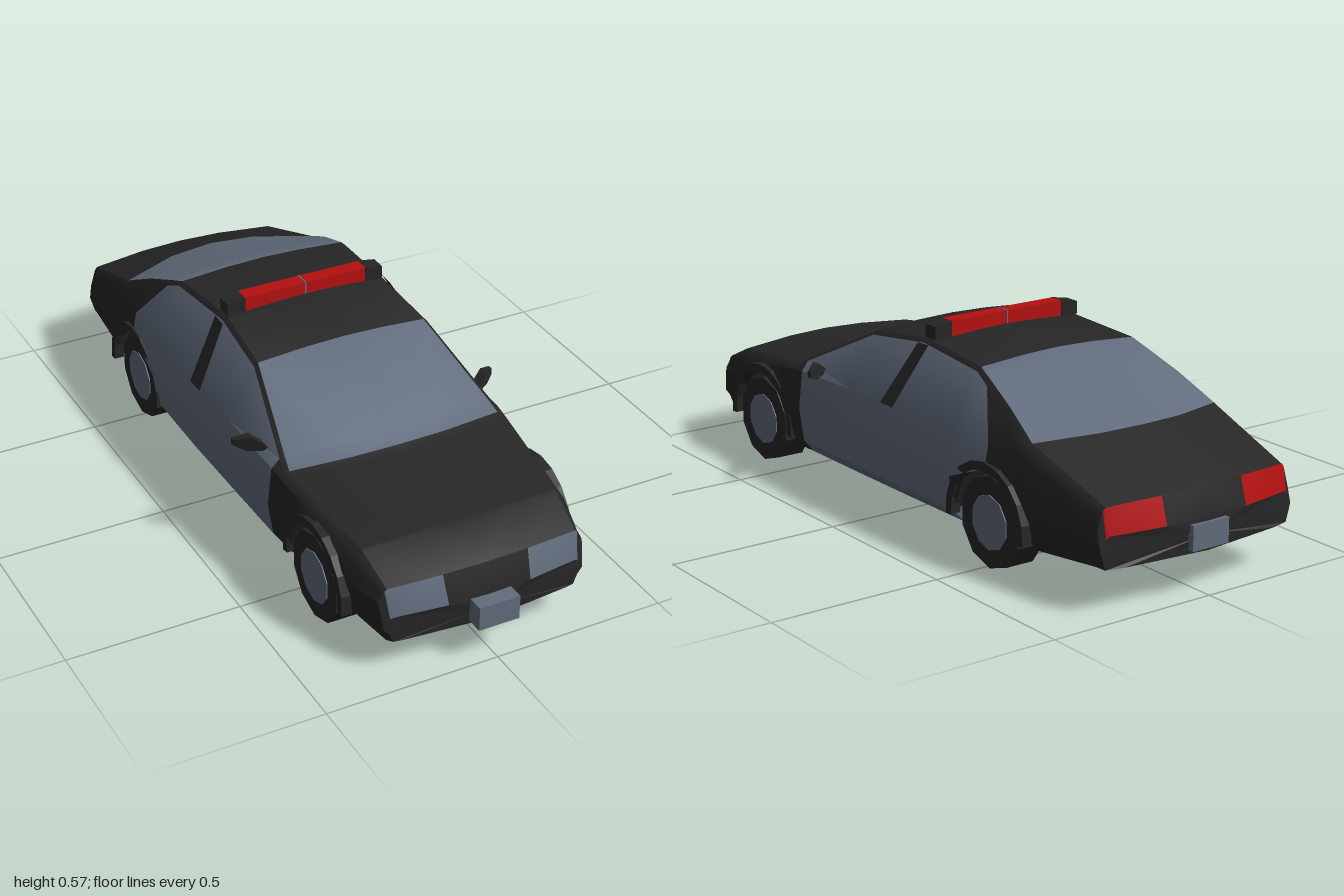
import * as THREE from 'three';
import { toCreasedNormals } from 'three/addons/utils/BufferGeometryUtils.js';

const paint = new THREE.MeshStandardMaterial({ color: 0x262626 });
paint.name = 'black paint';
const grey = new THREE.MeshStandardMaterial({ color: 0x626c7d });
grey.name = 'blue grey';
const red = new THREE.MeshStandardMaterial({ color: 0xb51010 });
red.name = 'red lamp';
const trim = new THREE.MeshStandardMaterial({ color: 0x242424, side: THREE.DoubleSide });
trim.name = 'black trim';

const WHEEL_Z = [0.625, -0.515], HUB_Y = 0.128, ARCH = 0.15;

// Cross-sections from nose to tail:
// side z, bow, top y, glass edge x y, rail x y, belt x y, sill x, bottom y
const KEYS = [
  [0.925, 0.03, 0.175, 0.27, 0.172, 0.28, 0.168, 0.285, 0.16, 0.27, 0.095],
  [0.905, 0.02, 0.255, 0.28, 0.25, 0.287, 0.245, 0.292, 0.235, 0.28, 0.09],
  [0.79, 0.02, 0.315, 0.29, 0.3, 0.302, 0.29, 0.318, 0.27, 0.29, 0.085],
  [0.435, 0.04, 0.355, 0.32, 0.343, 0.335, 0.337, 0.345, 0.325, 0.31, 0.08],
  [0.39, 0.03, 0.379, 0.312, 0.365, 0.325, 0.357, 0.348, 0.33, 0.31, 0.08],
  [0.13, 0, 0.508, 0.258, 0.495, 0.27, 0.485, 0.352, 0.34, 0.312, 0.08],
  [-0.1, 0, 0.535, 0.243, 0.522, 0.256, 0.51, 0.355, 0.345, 0.312, 0.08],
  [-0.365, 0, 0.517, 0.258, 0.503, 0.27, 0.492, 0.352, 0.35, 0.31, 0.08],
  [-0.515, -0.05, 0.447, 0.286, 0.437, 0.3, 0.418, 0.345, 0.345, 0.31, 0.083],
  [-0.64, -0.09, 0.39, 0.308, 0.375, 0.322, 0.365, 0.335, 0.34, 0.305, 0.088],
  [-0.935, -0.03, 0.287, 0.295, 0.28, 0.303, 0.273, 0.308, 0.26, 0.29, 0.115],
  [-0.95, -0.04, 0.21, 0.295, 0.208, 0.303, 0.2, 0.308, 0.19, 0.29, 0.12],
];

function rowAt(z) {
  let i = 0;
  while (i < KEYS.length - 2 && KEYS[i + 1][0] > z) i++;
  const a = KEYS[i], b = KEYS[i + 1], t = (z - a[0]) / (b[0] - a[0]);
  return a.map((v, k) => v + (b[k] - v) * t);
}

// Half outline of one section, from roof centre down to belly centre
function section(z) {
  const [, bow, top, xg, yg, xp, yp, xb, yb, xs, bot] = rowAt(z);
  let arch = 0;
  for (const c of WHEEL_Z) {
    const d = Math.abs(z - c);
    if (d < ARCH + 0.0005) arch = HUB_Y + Math.sqrt(Math.max(0, ARCH * ARCH - d * d));
  }
  const up = (y) => Math.max(y, arch), wide = xb + 0.012;
  const mid = Math.min(0.22, yb - 0.02);
  return [
    [0, top], [xg * 0.45, top - (top - yg) * 0.25], [xg, yg], [xp, yp], [xb, yb],
    [wide, up(mid)], [wide - 0.015, up(0.12)], [xs, up(bot)], [0.25, up(bot)], [0.25, bot], [0, bot],
  ].map(([x, y]) => [x, y, z + bow * Math.max(0, 1 - (x / xb) ** 2)]);
}

// Colour index of a body panel: 0 paint, 1 grey, 2 red
function panelColour(i, last, j, z0, z1) {
  const within = (a, b) => z0 <= a && z1 >= b;
  if (i === 0 && (j === 1 || j === 2)) return 1;             // headlights
  if (i === last && (j === 1 || j === 2)) return 2;          // tail lights
  if (j < 2) return within(0.435, 0.13) || within(-0.365, -0.64) ? 1 : 0;
  if (j === 3) return within(0.39, -0.415) ? 1 : 0;          // side windows
  if (j === 4) return within(0.39, -0.515) ? 1 : 0;          // doors
  return j > 4 && within(0.39, -0.365) ? 1 : 0;
}

function bodyGeometry() {
  const zs = KEYS.map((k) => k[0]);
  for (const c of WHEEL_Z) for (const d of [0.152, 0.15, 0.1, 0]) zs.push(c + d, c - d);
  const rows = [...new Set(zs.map((z) => Math.round(z * 1000) / 1000))].sort((a, b) => b - a);
  const rings = rows.map(section), last = rows.length - 2, lists = [[], [], []];
  // Adds a triangle and its mirror image
  const tri = (m, a, b, c) => {
    const flip = ([x, y, z]) => [-x, y, z];
    lists[m].push(...a, ...b, ...c, ...flip(a), ...flip(c), ...flip(b));
  };
  for (let i = 0; i <= last; i++) {
    for (let j = 0; j < 10; j++) {
      const a = rings[i][j], b = rings[i][j + 1], c = rings[i + 1][j + 1], d = rings[i + 1][j];
      const m = panelColour(i, last, j, rows[i], rows[i + 1]);
      // slanted rear edge of the side window
      const slant = j === 3 && rows[i] === -0.415;
      tri(slant ? 1 : m, a, b, c);
      tri(m, a, c, d);
    }
  }
  // Nose and tail caps
  for (const [ring, front] of [[rings[0], true], [rings[last + 1], false]]) {
    const mid = [0, (ring[0][1] + ring[10][1]) / 2, ring[0][2]];
    for (let j = 0; j < 10; j++) {
      if (front) tri(0, mid, ring[j + 1], ring[j]);
      else tri(0, mid, ring[j], ring[j + 1]);
    }
  }
  const geo = new THREE.BufferGeometry();
  geo.setAttribute('position', new THREE.Float32BufferAttribute(lists.flat(), 3));
  const out = toCreasedNormals(geo, 0.5);
  let start = 0;
  lists.forEach((l, m) => {
    out.addGroup(start, l.length / 3, m);
    start += l.length / 3;
  });
  return out;
}

export function createModel() {
  const car = new THREE.Group();
  car.name = 'patrolCar';
  const add = (name, geo, mat, x = 0, y = 0, z = 0) => {
    const mesh = new THREE.Mesh(geo, mat);
    mesh.name = name;
    mesh.position.set(x, y, z);
    car.add(mesh);
    return mesh;
  };
  const box = (name, mat, w, h, d, x, y, z) => add(name, new THREE.BoxGeometry(w, h, d), mat, x, y, z);

  add('body', bodyGeometry(), [paint, grey, red]);

  // Number plates
  box('frontPlate', grey, 0.12, 0.07, 0.06, 0, 0.14, 0.97);
  box('rearPlate', grey, 0.12, 0.07, 0.03, 0, 0.165, -0.985);

  // Roof light bar
  box('lightDivider', grey, 0.004, 0.044, 0.046, 0, 0.548, -0.112);
  for (const s of [1, -1]) {
    const side = s > 0 ? 'left' : 'right';
    box(side + 'RoofLight', red, 0.188, 0.044, 0.044, s * 0.096, 0.547, -0.112);

    // Tapered end of the light bar
    const end = new THREE.BoxGeometry(0.055, 0.046, 0.048);
    const p = end.attributes.position;
    for (let i = 0; i < p.count; i++) if (p.getX(i) * s > 0 && p.getY(i) > 0) p.setY(i, 0.014);
    end.computeVertexNormals();
    add(side + 'LightBarEnd', end, paint, s * 0.217, 0.546, -0.112);

    // Door pillar between the side windows
    const pillar = new THREE.BufferGeometry();
    const pts = [[0.264, 0.508, -0.08], [0.361, 0.343, -0.035], [0.362, 0.343, -0.095], [0.264, 0.511, -0.13]];
    pillar.setAttribute('position', new THREE.Float32BufferAttribute(pts.flatMap(([x, y, z]) => [s * x, y, z]), 3));
    pillar.setIndex(s > 0 ? [0, 1, 2, 0, 2, 3] : [0, 2, 1, 0, 3, 2]);
    pillar.computeVertexNormals();
    add(side + 'DoorPillar', pillar, trim);

    // Door mirror, swept backwards
    const outline = [[0.33, 0.36], [0.362, 0.382], [0.402, 0.368], [0.402, 0.35], [0.375, 0.338], [0.33, 0.346]];
    const mirror = new THREE.ExtrudeGeometry(
      new THREE.Shape(outline.map(([x, y]) => new THREE.Vector2(s * x, y))), { depth: 0.04, bevelEnabled: false });
    const q = mirror.attributes.position;
    for (let i = 0; i < q.count; i++) {
      const t = (Math.abs(q.getX(i)) - 0.33) / 0.072;
      q.setZ(i, 0.29 + q.getZ(i) * (1 - 0.6 * t) - 0.035 * t);
    }
    mirror.computeVertexNormals();
    add(side + 'Mirror', mirror, paint);

    // Wheels, hubs and arch flares
    WHEEL_Z.forEach((z, k) => {
      const name = side + (k ? 'Rear' : 'Front');
      const disc = (r, w) => new THREE.CylinderGeometry(r, r, w, 10).rotateZ(Math.PI / 2).rotateX(Math.PI / 2);
      add(name + 'Tyre', toCreasedNormals(disc(0.128, 0.085), 0.3), paint, s * 0.2975, HUB_Y, z);
      add(name + 'Hub', toCreasedNormals(disc(0.077, 0.008), 0.3), grey, s * 0.339, HUB_Y, z);
      const ring = new THREE.Shape();
      ring.absarc(0, 0, 0.17, -0.1, Math.PI + 0.1, false);
      ring.absarc(0, 0, 0.146, Math.PI + 0.1, -0.1, true);
      const flare = new THREE.ExtrudeGeometry(ring, { depth: 0.03, bevelEnabled: false, curveSegments: 5 });
      flare.translate(0, 0, -0.015).rotateY(Math.PI / 2);
      add(name + 'Flare', flare, paint, s * (k ? 0.346 : 0.334), HUB_Y, z);
    });
  }
  return car;
}
